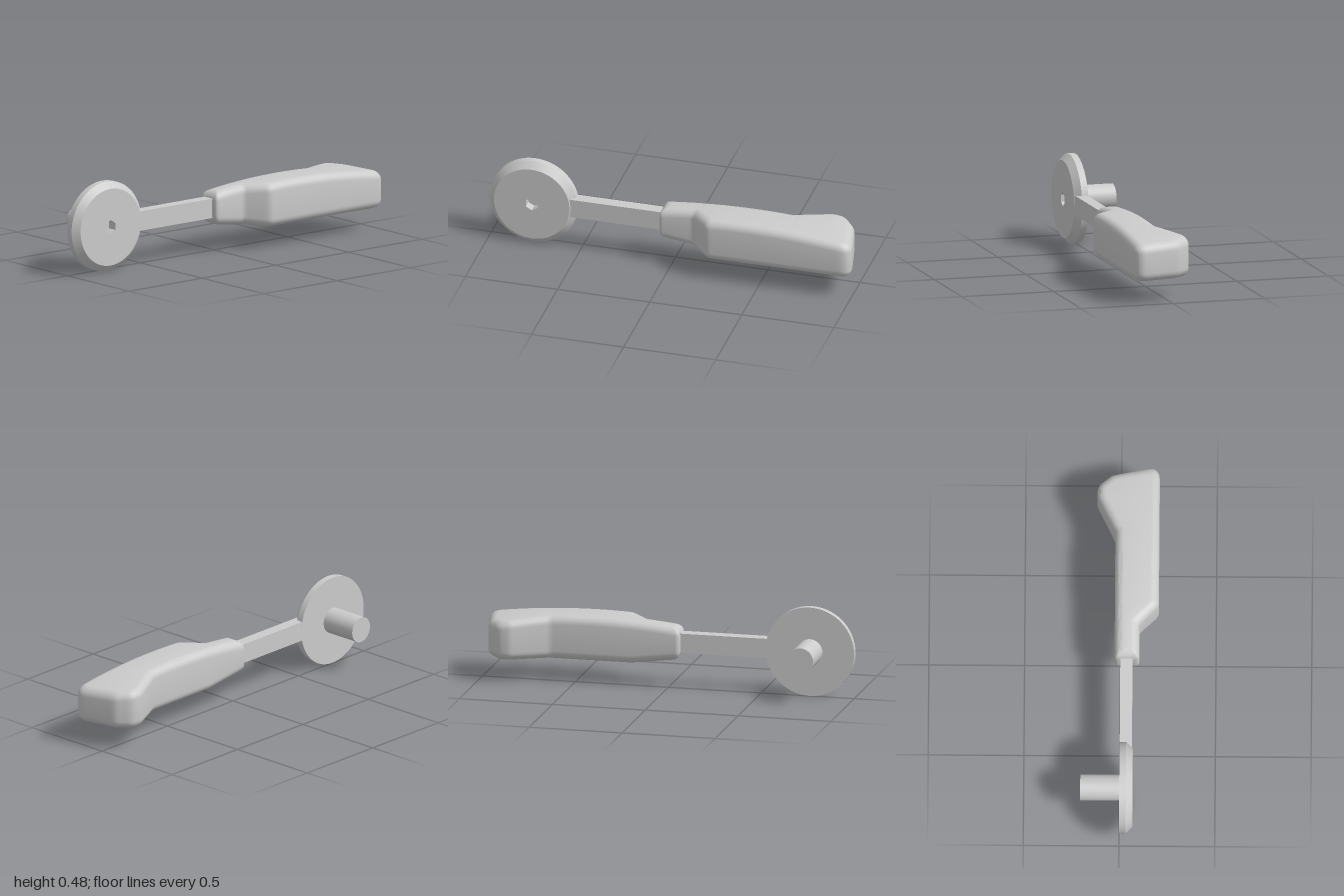
import * as THREE from 'three';
import { toCreasedNormals } from 'three/addons/utils/BufferGeometryUtils.js';

const material = new THREE.MeshStandardMaterial({ color: 0xcccccc });

function addMesh(parent, name, geometry, x = 0, y = 0, z = 0, mat = material) {
  const mesh = new THREE.Mesh(geometry, mat);
  mesh.name = name;
  mesh.position.set(x, y, z);
  parent.add(mesh);
  return mesh;
}

// Grip outline in plan: x, z, corner radius
const OUTLINE = [
  [-0.065, -0.03, 0.02], [0.63, -0.03, 0.03], [0.825, -0.125, 0.06], [0.892, -0.125, 0.07],
  [0.957, -0.05, 0.07], [1.012, 0.2, 0.06], [0.22, 0.2, 0.04], [0.12, 0.1, 0.02], [-0.065, 0.1, 0.02],
];
const ROUND = 0.045;
const topY = (x) => 0.357 - 0.13 * (x - 0.42) ** 2;
const bottomY = (x) => 0.12 + 0.13 * Math.max(0, 0.2 - x);

// Outline moved inward by d, with rounded corners
function insetOutline(d) {
  const n = OUTLINE.length;
  const pts = OUTLINE.map(([x, z]) => new THREE.Vector2(x, z));
  const dirs = pts.map((p, i) => pts[(i + 1) % n].clone().sub(p).normalize());
  const corners = pts.map((p, i) => {
    const a = dirs[(i + n - 1) % n], b = dirs[i];
    const miter = new THREE.Vector2(-a.y - b.y, a.x + b.x);
    return p.clone().addScaledVector(miter, d / (1 + a.dot(b)));
  });
  const line = [];
  corners.forEach((p, i) => {
    const a = dirs[(i + n - 1) % n], b = dirs[i];
    const reach = Math.max(OUTLINE[i][2] - d, 0.008) * Math.tan(Math.acos(a.dot(b)) / 2);
    const curve = new THREE.QuadraticBezierCurve(
      p.clone().addScaledVector(a, -reach), p, p.clone().addScaledVector(b, reach));
    line.push(...curve.getPoints(8));
  });
  return line;
}

// z of an x-ascending polyline at x
function zAt(line, x) {
  for (let i = 1; i < line.length; i++) {
    const a = line[i - 1], b = line[i];
    if (x <= b.x) return b.x - a.x < 1e-7 ? b.y : THREE.MathUtils.lerp(a.y, b.y, Math.max(0, (x - a.x) / (b.x - a.x)));
  }
  return line[line.length - 1].y;
}

function gripGeometry() {
  const sections = 110, arc = 6;
  // Rings from the top edge down to the bottom edge
  const rings = [];
  for (const side of [1, -1]) {
    for (let j = 0; j <= arc; j++) {
      const t = (side > 0 ? 1 - j / arc : j / arc) * Math.PI / 2;
      const line = insetOutline(ROUND * (1 - Math.cos(t)));
      let tip = 0;
      line.forEach((p, i) => { if (p.x > line[tip].x) tip = i; });
      rings.push({
        side, drop: ROUND * (1 - Math.sin(t)),
        min: line[0].x, max: line[tip].x,
        back: line.slice(0, tip + 1), front: line.slice(tip).reverse(),
      });
    }
  }
  // Cross-sections along x, each with the finger slot cut into the underside
  const loops = [];
  for (let i = 0; i <= sections; i++) {
    const u = (1 - Math.cos(Math.PI * i / sections)) / 2;
    const front = [], back = [];
    let x;
    for (const r of rings) {
      x = THREE.MathUtils.lerp(r.min, r.max, u);
      const y = r.side > 0 ? topY(x) - r.drop : bottomY(x) + r.drop;
      front.push(new THREE.Vector3(x, y, zAt(r.front, x)));
      back.unshift(new THREE.Vector3(x, y, zAt(r.back, x)));
    }
    const s = Math.min(1, Math.abs(x - 0.6) / 0.28);
    const half = 0.063 * Math.sqrt(1 - s ** 6);
    const low = bottomY(x), high = half > 0 ? 0.26 : low;
    const mid = half > 0 ? 0.097 : (front[front.length - 1].z + back[0].z) / 2;
    const slot = [[low, half], [high, half], [high, -half], [low, -half]]
      .map(([y, h]) => new THREE.Vector3(x, y, mid + h));
    loops.push([...front, ...slot, ...back]);
  }
  const out = [];
  const quad = (a, b, c, d) => { for (const p of [a, b, c, a, c, d]) out.push(p.x, p.y, p.z); };
  const count = loops[0].length;
  for (let i = 0; i < sections; i++) {
    for (let k = 0; k < count; k++) {
      const m = (k + 1) % count;
      quad(loops[i][k], loops[i][m], loops[i + 1][m], loops[i + 1][k]);
    }
  }
  // Flat end where the arm enters
  const end = loops[0];
  for (let k = 0; k < rings.length - 1; k++) {
    quad(end[k], end[count - 1 - k], end[count - 2 - k], end[k + 1]);
  }
  const geometry = new THREE.BufferGeometry();
  geometry.setAttribute('position', new THREE.Float32BufferAttribute(out, 3));
  return toCreasedNormals(geometry, 0.6);
}

export function createModel() {
  const model = new THREE.Group();
  model.name = 'crankHandle';

  // Chamfered disc with a hexagonal socket
  const disc = new THREE.Group();
  disc.name = 'disc';
  disc.position.set(-0.762, 0.239, 0);
  model.add(disc);
  const profile = [[0, 0], [0.238, 0], [0.238, 0.035], [0.205, 0.069]].map(([r, h]) => new THREE.Vector2(r, h));
  const body = toCreasedNormals(new THREE.LatheGeometry(profile, 64).rotateX(Math.PI / 2), 0.5);
  addMesh(disc, 'discBody', body);
  const face = new THREE.Shape().absarc(0, 0, 0.205, 0, Math.PI * 2);
  const hexagon = [];
  for (let i = 0; i < 6; i++) {
    const a = Math.PI / 6 + i * Math.PI / 3;
    hexagon.push(new THREE.Vector2(0.037 * Math.cos(a), 0.037 * Math.sin(a)));
  }
  face.holes.push(new THREE.Path(hexagon));
  addMesh(disc, 'discFace', new THREE.ShapeGeometry(face, 32), 0, 0, 0.069);
  const inside = new THREE.MeshStandardMaterial({ color: 0xcccccc, side: THREE.DoubleSide });
  const socket = new THREE.CylinderGeometry(0.037, 0.037, 0.05, 6, 1, true).rotateX(Math.PI / 2);
  addMesh(disc, 'socketWall', toCreasedNormals(socket, 0.3), 0, 0, 0.044, inside);
  addMesh(disc, 'socketFloor', new THREE.CircleGeometry(0.04, 6, Math.PI / 6), 0, 0, 0.019);

  // Pin behind the disc
  addMesh(disc, 'pin', new THREE.CylinderGeometry(0.068, 0.068, 0.208, 48).rotateX(Math.PI / 2), 0, 0, -0.1);

  // Flat arm and moulded grip
  addMesh(model, 'arm', new THREE.BoxGeometry(0.58, 0.104, 0.064), -0.31, 0.242, 0.0325);
  addMesh(model, 'grip', gripGeometry());
  return model;
}
